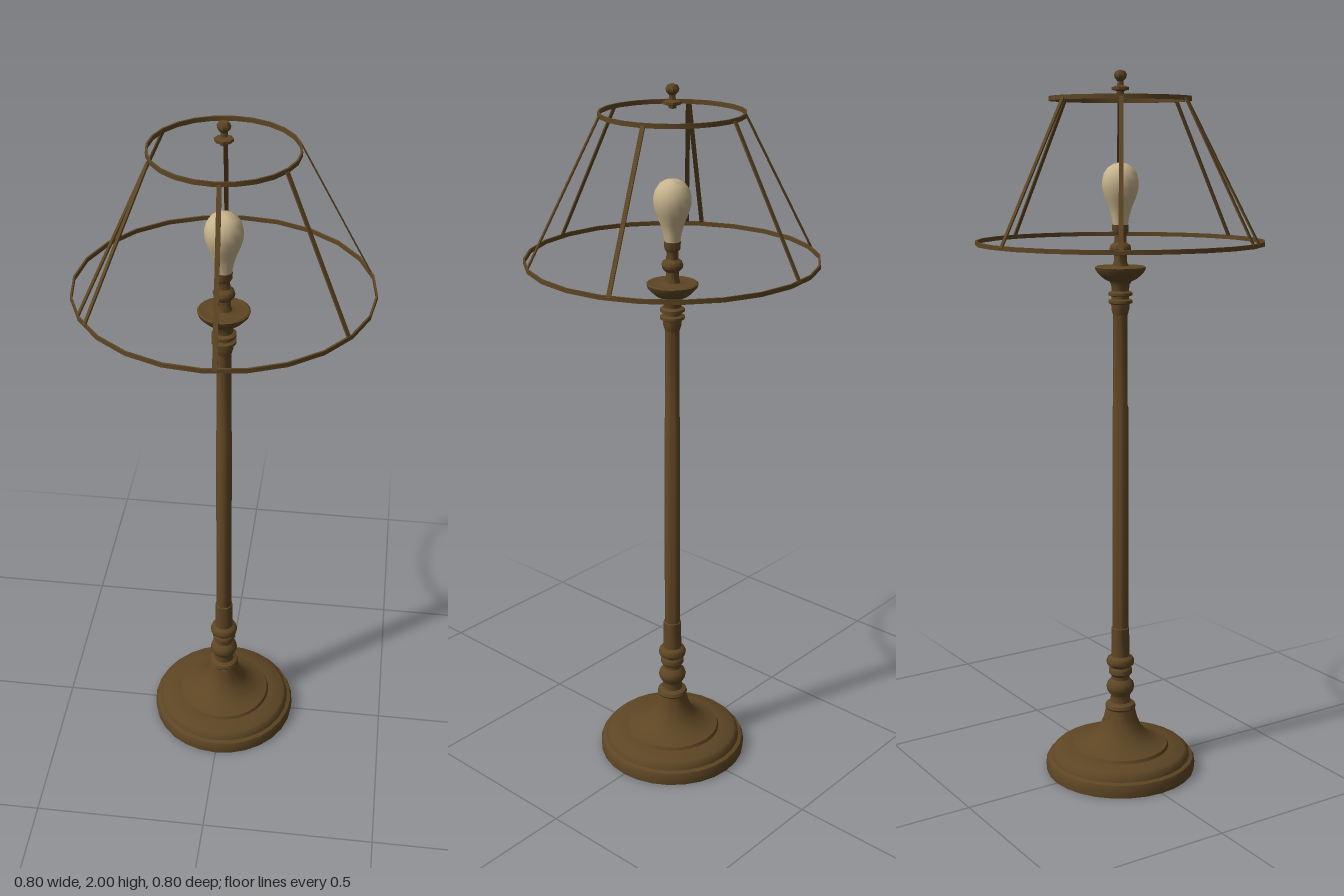
import * as THREE from 'three';
import { toCreasedNormals } from 'three/addons/utils/BufferGeometryUtils.js';

const bronze = new THREE.MeshStandardMaterial({ color: 0x5e4624, side: THREE.DoubleSide });
bronze.name = 'aged bronze';
const glass = new THREE.MeshStandardMaterial({ color: 0xc8b48e });
glass.name = 'warm glass';

export function createModel() {
  const lamp = new THREE.Group();
  lamp.name = 'floorLamp';

  function add(name, geometry, material = bronze) {
    const mesh = new THREE.Mesh(geometry, material);
    mesh.name = name;
    lamp.add(mesh);
    return mesh;
  }
  // Turned part from [radius, height] pairs, bottom to top
  function turned(name, profile, sides, material) {
    const points = profile.map(([r, y]) => new THREE.Vector2(r, y));
    return add(name, toCreasedNormals(new THREE.LatheGeometry(points, sides), 0.7), material);
  }

  // Stepped base, open underneath
  turned('base', [
    [0.217, 0], [0.219, 0.025], [0.214, 0.037], [0.203, 0.041], [0.2, 0.054],
    [0.19, 0.063], [0.142, 0.068], [0.138, 0.077], [0.115, 0.083], [0.085, 0.1],
    [0.062, 0.125], [0.049, 0.155], [0.042, 0.185],
  ], 28);

  // Turned knobs at the foot of the column
  turned('lowerKnobs', [
    [0.042, 0.185], [0.045, 0.19], [0.042, 0.199], [0.03, 0.205], [0.028, 0.225],
    [0.038, 0.24], [0.041, 0.252], [0.037, 0.265], [0.027, 0.275], [0.027, 0.285],
    [0.034, 0.293], [0.034, 0.305], [0.029, 0.312], [0.039, 0.32], [0.041, 0.33],
    [0.037, 0.34], [0.027, 0.346], [0.026, 0.43], [0.023, 0.432],
  ], 16);

  turned('column', [[0.023, 0.43], [0.0225, 1.08], [0.0205, 1.085], [0.0205, 1.34]], 12);

  // Collar rings and drip cup
  turned('collar', [
    [0.0205, 1.34], [0.025, 1.355], [0.026, 1.37], [0.034, 1.374], [0.034, 1.381],
    [0.025, 1.385], [0.025, 1.392], [0.034, 1.395], [0.034, 1.402], [0.024, 1.407],
    [0.026, 1.425], [0.031, 1.433],
  ], 16);
  turned('cup', [
    [0.031, 1.433], [0.044, 1.439], [0.056, 1.449], [0.068, 1.462], [0.071, 1.472],
    [0.066, 1.475], [0.035, 1.47], [0.022, 1.476],
  ], 20);

  // Bulb holder
  turned('socket', [
    [0.022, 1.474], [0.018, 1.49], [0.018, 1.505], [0.028, 1.515], [0.03, 1.524],
    [0.027, 1.533], [0.017, 1.54], [0.016, 1.56], [0.022, 1.568], [0.023, 1.588], [0, 1.59],
  ], 12);
  turned('bulb', [
    [0.021, 1.586], [0.025, 1.61], [0.033, 1.637], [0.043, 1.66], [0.05, 1.685],
    [0.051, 1.705], [0.046, 1.726], [0.035, 1.742], [0.019, 1.752], [0, 1.756],
  ], 16, glass);

  // Small finial above the shade
  turned('finial', [
    [0, 1.935], [0.01, 1.937], [0.011, 1.944], [0.024, 1.947], [0.024, 1.954], [0.009, 1.959],
    [0.008, 1.97], [0.016, 1.978], [0.018, 1.987], [0.013, 1.996], [0, 2],
  ], 8);

  // Shade frame: two flat hoops
  function hoop(name, r, y, h) {
    turned(name, [[r - 0.005, y - h], [r, y - h], [r, y + h], [r - 0.005, y + h], [r - 0.005, y - h]], 24);
  }
  hoop('topHoop', 0.193, 1.924, 0.006);
  hoop('bottomHoop', 0.398, 1.54, 0.006);

  // Flat struts between the hoops: [top x, top z, bottom x, bottom z]
  const struts = [
    [-0.02, -0.191, -0.042, -0.393], [-0.164, -0.103, -0.335, -0.214],
    [0.182, -0.065, 0.376, -0.125], [-0.172, 0.093, -0.347, 0.193],
    [-0.172, 0.096, -0.322, 0.23], [0.164, 0.104, 0.336, 0.208],
    [0.013, 0.192, 0.027, 0.394],
  ];
  for (const [tx, tz, bx, bz] of struts) {
    const top = new THREE.Vector3(tx, 1.924, tz);
    const bottom = new THREE.Vector3(bx, 1.54, bz);
    const along = top.clone().sub(bottom);
    const strut = add('shadeStrut', new THREE.BoxGeometry(0.012, along.length(), 0.004));
    strut.position.copy(top).add(bottom).multiplyScalar(0.5);
    along.normalize();
    const across = new THREE.Vector3(bz, 0, -bx).normalize();
    const outward = across.clone().cross(along).normalize();
    across.crossVectors(along, outward);
    strut.quaternion.setFromRotationMatrix(new THREE.Matrix4().makeBasis(across, along, outward));
  }

  return lamp;
}
